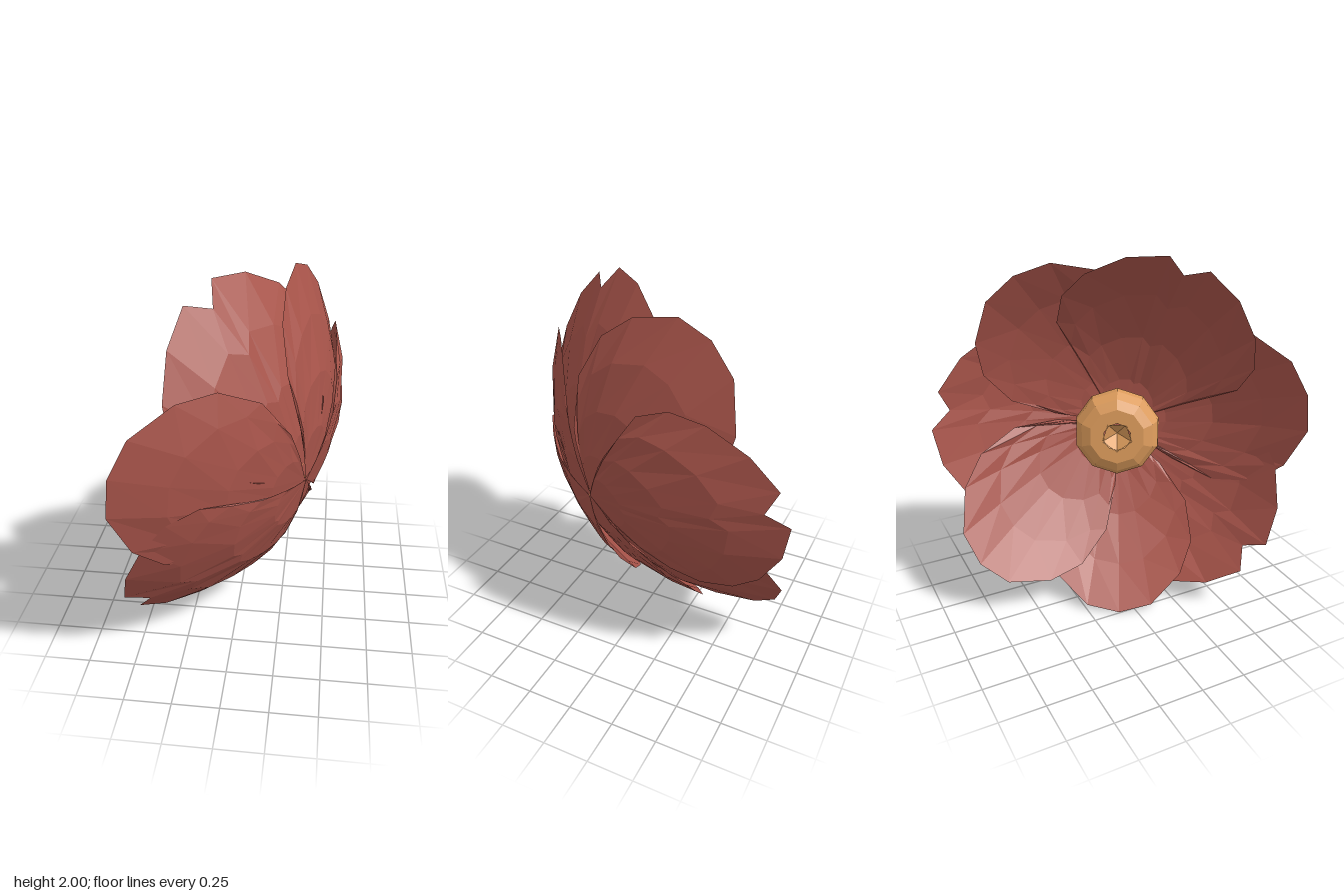
import * as THREE from 'three';

// Half outlines of a petal in polar form: [degrees off the centre line, reach]
const ROUND = [[0, 1], [11, 0.98], [24, 0.89], [34, 0.78], [43, 0.6], [47, 0.36]];
const NOTCHED = [[0, 0.93], [6, 1], [18, 0.96], [31, 0.89], [41, 0.81], [48, 0.69], [49, 0.4]];

// angle round the flower axis, reach, cup depth, cup power, sideways tilt, layer, outline
const PETALS = [
  [30.5, 1.07, 0.425, 2.1, 0.04, 1, ROUND],
  [79, 1.02, 0.46, 2.4, 0.11, 0, NOTCHED],
  [131, 1.01, 0.59, 2.1, 0.05, 2, ROUND],
  [181, 0.99, 0.55, 2.1, 0, 1, ROUND],
  [230, 1.025, 0.48, 2.4, 0, 0, NOTCHED],
  [286, 1.07, 0.44, 2.1, -0.02, 1, ROUND],
  [339.5, 1.065, 0.5, 2.1, 0, 2, NOTCHED],
];

const ROWS = [0.28, 0.54, 0.79, 1];

// Fan-shaped sheet running out from the flower base, cupped towards its rim
function petalGeometry([angle, reach, cup, power, tilt, layer, half], index) {
  const cols = [...half.slice(1).reverse().map(([a, r]) => [-a, r]), ...half];
  const n = ROWS.length;
  const pos = [0, 0.008 * layer, 0];
  const idx = [];
  cols.forEach(([deg, rel], i) => {
    const off = THREE.MathUtils.degToRad(deg);
    const a = off + THREE.MathUtils.degToRad(angle);
    ROWS.forEach((u, j) => {
      const r = rel * reach * u;
      const wave = j < n - 1 ? 0.004 * u * Math.sin(i * 2.3 + j * 1.9 + index) : 0;
      const lift = 0.012 * layer * (1 - u * u);
      const h = cup * Math.pow(r, power) + tilt * r * Math.sin(off) + wave + lift;
      pos.push(r * Math.sin(a), h, r * Math.cos(a));
    });
  });
  for (let i = 0; i < cols.length - 1; i++) {
    const p = 1 + i * n, q = p + n;
    idx.push(0, p, q);
    for (let j = 0; j < n - 1; j++) {
      idx.push(p + j, p + j + 1, q + j + 1, p + j, q + j + 1, q + j);
    }
  }
  const g = new THREE.BufferGeometry();
  g.setAttribute('position', new THREE.Float32BufferAttribute(pos, 3));
  g.setIndex(idx);
  g.computeVertexNormals();
  return g;
}

export function createModel() {
  const petalRed = new THREE.MeshStandardMaterial({
    color: 0xa8544a, flatShading: true, side: THREE.DoubleSide });
  petalRed.name = 'petalRed';
  const centreGold = new THREE.MeshStandardMaterial({
    color: 0xdd9c5c, flatShading: true, side: THREE.DoubleSide });
  centreGold.name = 'centreGold';

  const flower = new THREE.Group();
  flower.name = 'flower';

  // Ring of overlapping petals
  PETALS.forEach((p, i) => {
    const petal = new THREE.Mesh(petalGeometry(p, i), petalRed);
    petal.name = 'petal' + (i + 1);
    flower.add(petal);
  });

  // Faceted centre with a small pit on top
  const profile = [[0.1, 0.03], [0.21, 0.07], [0.255, 0.15], [0.25, 0.215],
    [0.215, 0.27], [0.16, 0.3], [0.08, 0.3]].map(([r, h]) => new THREE.Vector2(r, h));
  const centre = new THREE.Mesh(new THREE.LatheGeometry(profile, 10), centreGold);
  centre.name = 'centre';
  flower.add(centre);
  const pit = new THREE.Mesh(new THREE.ConeGeometry(0.09, 0.09, 5, 1, true), centreGold);
  pit.name = 'centrePit';
  pit.rotation.x = Math.PI;
  pit.position.y = 0.256;
  flower.add(pit);

  // Lean the flower so that its mouth faces sideways and back
  const axis = new THREE.Vector3(-0.88, 0.15, -0.45).normalize();
  const up = new THREE.Vector3(0, 1, 0).addScaledVector(axis, -axis.y).normalize();
  const side = new THREE.Vector3().crossVectors(axis, up);
  flower.quaternion.setFromRotationMatrix(new THREE.Matrix4().makeBasis(side, axis, up));
  flower.position.set(0.37, 0.9, 0.2);

  const model = new THREE.Group();
  model.add(flower);
  return model;
}
